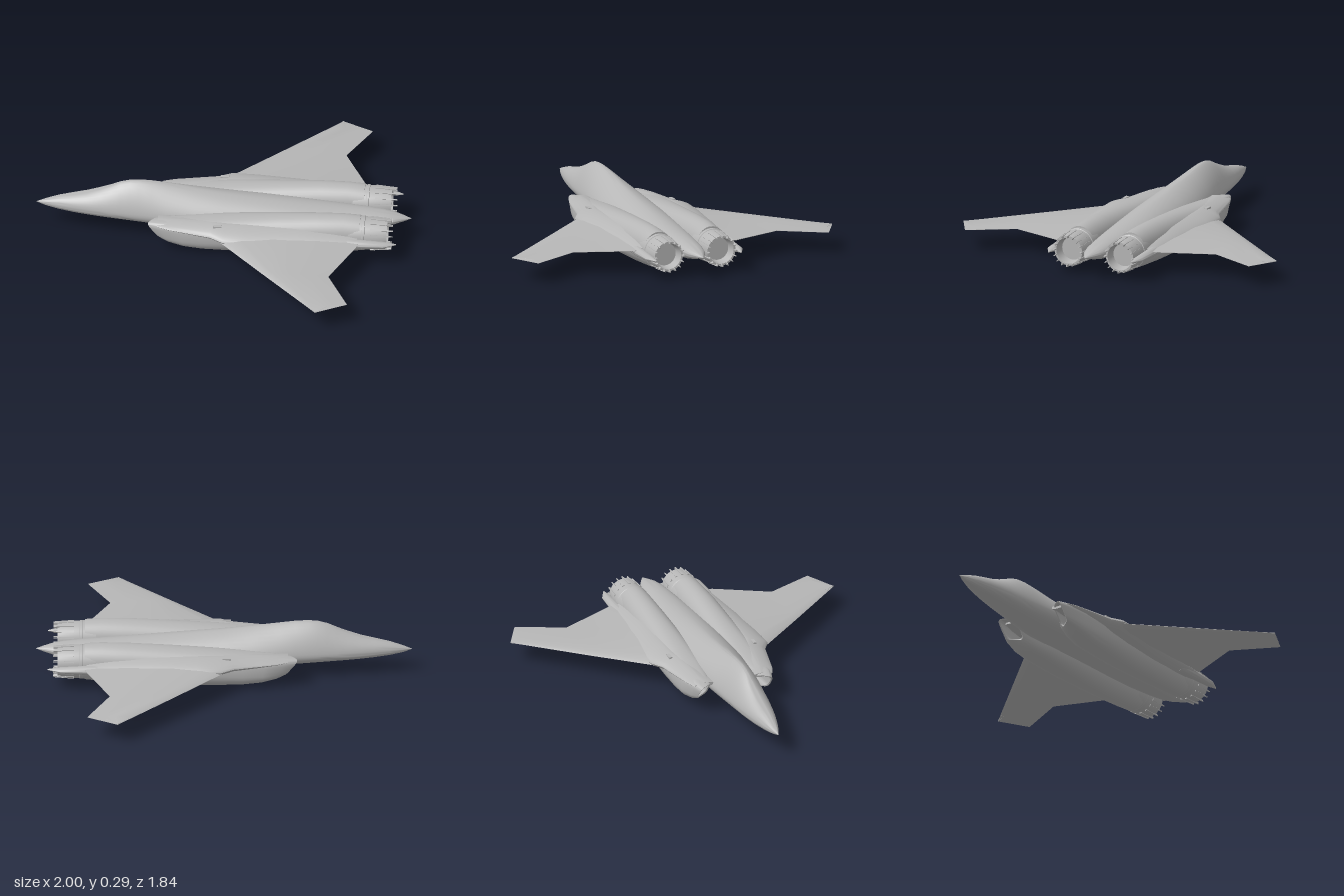
import * as THREE from 'three';
import { toCreasedNormals } from 'three/addons/utils/BufferGeometryUtils.js';

const grey = new THREE.MeshStandardMaterial({ color: 0xb6b6b6 });
grey.name = 'airframeGrey';

// Skin a list of equal-length closed rings; side -1 mirrors the part across z
function skin(name, rings, side = 1, crease = 0.7) {
  const n = rings[0].length, pos = [], idx = [];
  for (const ring of rings) {
    const r = side < 0 ? [...ring].reverse() : ring;
    for (const [x, y, z] of r) pos.push(x, y, z * side);
  }
  for (let i = 0; i < rings.length - 1; i++) {
    for (let j = 0; j < n; j++) {
      const a = i * n + j, b = i * n + (j + 1) % n, c = a + n, d = b + n;
      idx.push(a, c, b, b, c, d);
    }
  }
  const geo = new THREE.BufferGeometry();
  geo.setAttribute('position', new THREE.Float32BufferAttribute(pos, 3));
  geo.setIndex(idx);
  const mesh = new THREE.Mesh(toCreasedNormals(geo, crease), grey);
  mesh.name = name;
  return mesh;
}

// Superellipse ring across x; shear rakes it back towards the bottom and the inside
function ring({ x, zi, zo, top, bot, waist = (top + bot) / 2, nUp = 2, nLow = 2, shear = 0 }) {
  const pts = [], N = 40, zc = (zi + zo) / 2, w = (zo - zi) / 2;
  for (let i = 0; i < N; i++) {
    const t = (i / N) * Math.PI * 2, c = Math.cos(t), s = Math.sin(t);
    const e = 2 / (s >= 0 ? nUp : nLow);
    const z = zc + w * Math.sign(c) * Math.abs(c) ** e;
    const h = s >= 0 ? top - waist : waist - bot;
    const y = waist + h * Math.sign(s) * Math.abs(s) ** e;
    const rake = shear * ((top - y) / (top - bot + 1e-6) + 0.75 * (zo - z) / (2 * w + 1e-6));
    pts.push([x + rake, y, z]);
  }
  return pts;
}

// Add a flat cap by collapsing a copy of the ring to its centre
function cap(r) {
  const m = [0, 1, 2].map(k => r.reduce((s, p) => s + p[k], 0) / r.length);
  return r.map(() => m);
}

function fuselage() {
  // x, half width, top, bottom, waist height, upper exponent
  const rows = [
    [-1, 0.0005, 0.131, 0.129, 0.13, 2], [-0.95, 0.02, 0.15, 0.113, 0.13, 2],
    [-0.88, 0.041, 0.172, 0.1, 0.13, 2], [-0.8, 0.06, 0.19, 0.091, 0.13, 1.95],
    [-0.73, 0.073, 0.207, 0.085, 0.13, 1.85], [-0.66, 0.084, 0.232, 0.08, 0.13, 1.7],
    [-0.6, 0.091, 0.257, 0.076, 0.13, 1.55], [-0.55, 0.097, 0.28, 0.073, 0.13, 1.48],
    [-0.5, 0.103, 0.293, 0.07, 0.13, 1.45], [-0.45, 0.109, 0.297, 0.067, 0.13, 1.45],
    [-0.38, 0.117, 0.293, 0.063, 0.13, 1.45], [-0.3, 0.127, 0.283, 0.06, 0.13, 1.45],
    [-0.15, 0.14, 0.262, 0.06, 0.13, 1.5], [0, 0.14, 0.242, 0.062, 0.13, 1.6],
    [0.2, 0.13, 0.222, 0.065, 0.13, 1.75], [0.4, 0.115, 0.202, 0.068, 0.13, 1.9],
    [0.6, 0.095, 0.185, 0.072, 0.13, 2], [0.75, 0.075, 0.176, 0.078, 0.13, 2],
    [0.85, 0.062, 0.166, 0.09, 0.13, 2], [0.91, 0.047, 0.156, 0.103, 0.13, 2],
    [0.96, 0.023, 0.143, 0.117, 0.13, 2], [1, 0.0005, 0.131, 0.129, 0.13, 2],
  ];
  return skin('fuselage', rows.map(([x, w, top, bot, waist, nUp]) =>
    ring({ x, zi: -w, zo: w, top, bot, waist, nUp, nLow: 2.2 })));
}

function nacelle(side) {
  // From the inside of the intake, round its raked lip, back to the nozzle
  const rows = [
    [-0.15, 0.14, 0.2, 0.14, 0.05, 0, 4], [-0.392, 0.13, 0.2, 0.152, 0.067, 0.075, 4],
    [-0.4, 0.125, 0.206, 0.157, 0.06, 0.08, 4], [-0.33, 0.11, 0.227, 0.165, 0.045, 0.05, 3.6],
    [-0.22, 0.09, 0.245, 0.172, 0.026, 0.02, 3.1], [-0.1, 0.07, 0.252, 0.182, 0.012, 0, 2.7],
    [0.05, 0.063, 0.255, 0.197, 0.005, 0, 2.4], [0.18, 0.06, 0.253, 0.207, 0.002, 0, 2.25],
    [0.3, 0.06, 0.25, 0.216, 0.003, 0, 2.15], [0.5, 0.063, 0.247, 0.228, 0.01, 0, 2.05],
    [0.65, 0.065, 0.24, 0.231, 0.019, 0, 2], [0.74, 0.066, 0.236, 0.225, 0.028, 0, 2],
  ];
  const rings = rows.map(([x, zi, zo, top, bot, shear, n]) =>
    ring({ x, zi, zo, top, bot, shear, nUp: n, nLow: n }));
  return skin('engineNacelle', [cap(rings[0]), ...rings, cap(rings.at(-1))], side);
}

// Blended shoulder joining nacelle and wing
function shoulder(side) {
  const rows = [
    [-0.34, 0.222, 0.15, 0.012], [-0.28, 0.245, 0.148, 0.022], [-0.2, 0.262, 0.146, 0.03],
    [-0.05, 0.294, 0.143, 0.04], [0.02, 0.335, 0.14, 0.046], [0.15, 0.335, 0.135, 0.052],
    [0.4, 0.315, 0.13, 0.055], [0.6, 0.295, 0.125, 0.045], [0.73, 0.285, 0.122, 0.03],
  ];
  const rings = rows.map(([x, zo, y, h]) =>
    ring({ x, zi: 0.1, zo, top: y + h, bot: y - h, nUp: 1.5, nLow: 1.5 }));
  return skin('wingShoulder', [cap(rings[0]), ...rings, cap(rings.at(-1))], side);
}

function wing(side) {
  // z, leading edge, trailing edge, height, half thickness
  const rows = [
    [0.2, -0.05, 0.745, 0.134, 0.03], [0.295, -0.02, 0.735, 0.132, 0.024],
    [0.335, 0.02, 0.717, 0.131, 0.021], [0.585, 0.25, 0.605, 0.123, 0.013],
    [0.835, 0.481, 0.725, 0.117, 0.007], [0.92, 0.56, 0.565, 0.115, 0.003],
  ];
  const foil = [[0, 0], [0.04, 0.5], [0.15, 0.85], [0.4, 1], [0.7, 0.65], [1, 0.06],
    [1, -0.06], [0.7, -0.65], [0.4, -1], [0.15, -0.85], [0.04, -0.5]];
  const rings = rows.map(([z, le, te, y, h]) =>
    foil.map(([u, v]) => [le + u * (te - le), y + v * h, z]));
  return skin('wing', [...rings, cap(rings.at(-1))], side);
}

// Flat pointed boom outside each nozzle
function tailBoom(side) {
  const rows = [[0.6, 0.2, 0.283, 0.028], [0.73, 0.224, 0.284, 0.024],
    [0.87, 0.227, 0.279, 0.015], [0.937, 0.24, 0.247, 0.003]];
  const rings = rows.map(([x, zi, zo, h]) =>
    ring({ x, zi, zo, top: 0.12 + h, bot: 0.12 - h, nUp: 1.8, nLow: 1.8 }));
  return skin('tailBoom', [cap(rings[0]), ...rings, cap(rings.at(-1))], side);
}

function nozzle(side) {
  const group = new THREE.Group();
  group.name = 'exhaustNozzle';
  // Lathe axis turned to run along +x
  const profile = [[0.09, 0.68], [0.091, 0.75], [0.0925, 0.752], [0.0925, 0.765], [0.089, 0.767],
    [0.088, 0.83], [0.081, 0.885], [0.071, 0.885], [0.062, 0.83], [0, 0.83]];
  const geo = new THREE.LatheGeometry(profile.map(p => new THREE.Vector2(...p)), 32);
  geo.rotateZ(-Math.PI / 2);
  const shell = new THREE.Mesh(toCreasedNormals(geo, 0.5), grey);
  shell.name = 'nozzleShell';
  group.add(shell);
  // Ring of tapered petals forming the serrated rim
  const count = 16;
  for (let i = 0; i < count; i++) {
    const petalGeo = new THREE.CylinderGeometry(0.007, 0.019, 0.11, 4, 1);
    petalGeo.rotateY(Math.PI / 4).scale(1, 1, 0.45).rotateZ(-Math.PI / 2).rotateY(0);
    petalGeo.rotateX(-Math.PI / 2);
    const petal = new THREE.Mesh(toCreasedNormals(petalGeo, 0.3), grey);
    petal.name = 'nozzlePetal';
    const a = (i / count) * Math.PI * 2;
    petal.rotation.x = -a;
    petal.position.set(0.852, 0.079 * Math.sin(-a), 0.079 * Math.cos(a));
    // Lay the flat face of the petal against the shell
    petalGeo.dispose();
    petal.rotation.x = a + Math.PI / 2 - Math.PI / 2;
    group.add(petal);
  }
  group.position.set(0, 0.125, side * 0.151);
  return group;
}

// Small raised fairing beside the wing root
function rootFairing(side) {
  const mesh = new THREE.Mesh(new THREE.BoxGeometry(0.045, 0.02, 0.018), grey);
  mesh.name = 'rootFairing';
  mesh.position.set(-0.015, 0.175, side * 0.24);
  return mesh;
}

export function createModel() {
  const model = new THREE.Group();
  model.name = 'jetAircraft';
  model.add(fuselage());
  for (const side of [1, -1]) {
    for (const part of [nacelle, shoulder, wing, tailBoom, nozzle, rootFairing]) model.add(part(side));
  }
  return model;
}
